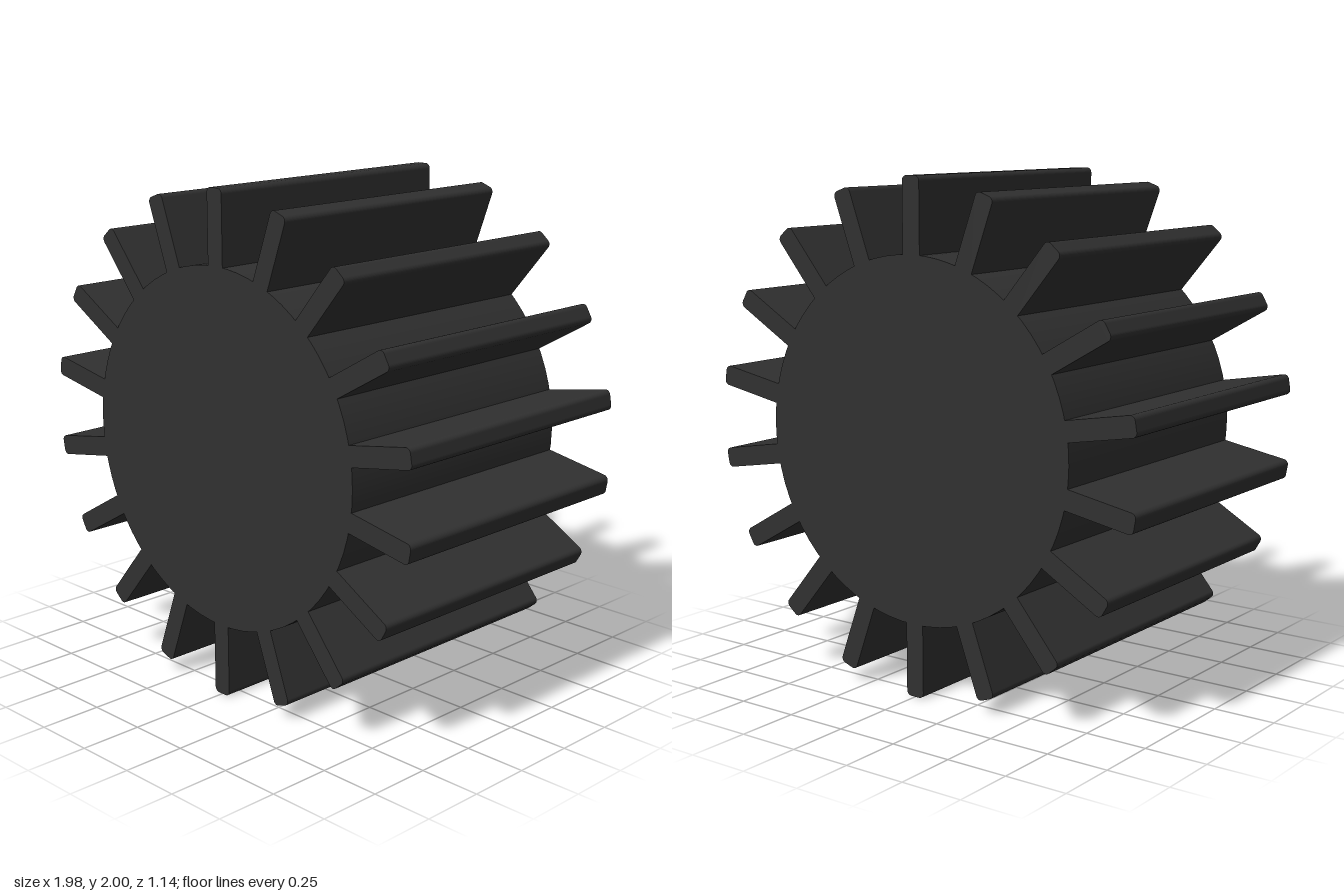
import * as THREE from 'three';

const DEPTH = 1.14, HUB_RADIUS = 0.71, TIP_RADIUS = 1, FIN_COUNT = 18;
const HALF_WIDTH = 0.04, CORNER = 0.02;

// Radial fin cross-section pointing up, with rounded outer corners
function finGeometry() {
  const shape = new THREE.Shape();
  shape.moveTo(-HALF_WIDTH, HUB_RADIUS - 0.003);
  shape.lineTo(HALF_WIDTH, HUB_RADIUS - 0.003);
  shape.lineTo(HALF_WIDTH, TIP_RADIUS - CORNER);
  shape.absarc(HALF_WIDTH - CORNER, TIP_RADIUS - CORNER, CORNER, 0, Math.PI / 2, false);
  shape.lineTo(-HALF_WIDTH + CORNER, TIP_RADIUS);
  shape.absarc(-HALF_WIDTH + CORNER, TIP_RADIUS - CORNER, CORNER, Math.PI / 2, Math.PI, false);
  shape.closePath();
  const geometry = new THREE.ExtrudeGeometry(shape, { depth: DEPTH, bevelEnabled: false, curveSegments: 4 });
  return geometry.translate(0, 0, -DEPTH / 2);
}

export function createModel() {
  const model = new THREE.Group();
  model.name = 'finnedCylinder';
  const material = new THREE.MeshStandardMaterial({ color: 0x303030 });

  // Solid core lying along z
  const hubGeometry = new THREE.CylinderGeometry(HUB_RADIUS, HUB_RADIUS, DEPTH, 72);
  const hub = new THREE.Mesh(hubGeometry.rotateX(Math.PI / 2), material);
  hub.name = 'hub';
  hub.position.y = 1;
  model.add(hub);

  // Ring of evenly spaced fins
  const fins = new THREE.Group();
  fins.name = 'fins';
  fins.position.y = 1;
  const geometry = finGeometry();
  for (let i = 0; i < FIN_COUNT; i++) {
    const fin = new THREE.Mesh(geometry, material);
    fin.name = `fin${i + 1}`;
    fin.rotation.z = (i / FIN_COUNT) * Math.PI * 2;
    fins.add(fin);
  }
  model.add(fins);
  return model;
}
